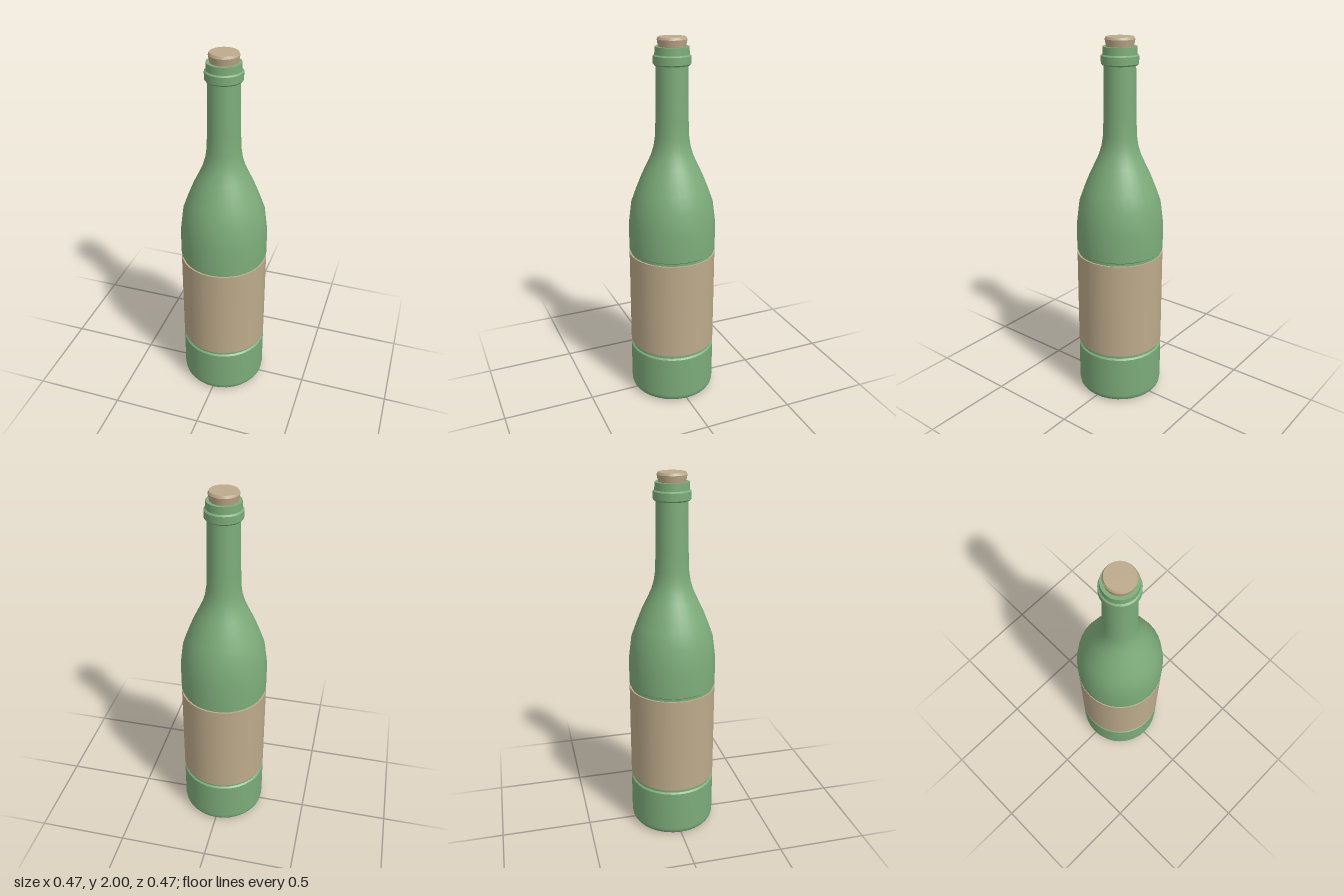
import * as THREE from 'three';

const SEGMENTS = 32;
const glass = new THREE.MeshStandardMaterial({ name: 'green glass', color: 0x7dac7a });
const tan = new THREE.MeshStandardMaterial({ name: 'tan paper and cork', color: 0xbdaa8b });

// Revolves each smooth run of [radius, height] points; edges between runs stay sharp
function turned(name, material, runs) {
  const part = new THREE.Group();
  part.name = name;
  runs.forEach((run, i) => {
    const points = run.map(([r, y]) => new THREE.Vector2(r, y));
    const mesh = new THREE.Mesh(new THREE.LatheGeometry(points, SEGMENTS), material);
    mesh.name = `${name}Surface${i + 1}`;
    part.add(mesh);
  });
  return part;
}

export function createModel() {
  const bottle = new THREE.Group();
  bottle.name = 'bottle';

  bottle.add(
    // Hollow underside and rounded foot
    turned('base', glass, [
      [[0, 0.06], [0.07, 0.055], [0.13, 0.04], [0.175, 0.015], [0.195, 0]],
      [[0.195, 0], [0.212, 0]],
      [[0.212, 0], [0.225, 0.008], [0.233, 0.02], [0.237, 0.04], [0.237, 0.272]],
      [[0.237, 0.272], [0.228, 0.28]],
    ]),
    // Recessed band behind the label
    turned('labelRecess', glass, [[[0.228, 0.28], [0.228, 0.86]]]),
    turned('label', tan, [
      [[0.227, 0.3], [0.237, 0.3]],
      [[0.237, 0.3], [0.237, 0.846]],
      [[0.237, 0.846], [0.227, 0.846]],
    ]),
    // Upper body, sloping shoulder and neck
    turned('shoulderAndNeck', glass, [
      [[0.228, 0.86], [0.237, 0.867]],
      [[0.237, 0.867], [0.237, 1.01], [0.221, 1.135], [0.192, 1.215], [0.164, 1.285],
        [0.135, 1.345], [0.112, 1.395], [0.097, 1.445], [0.089, 1.5], [0.086, 1.6], [0.082, 1.865]],
    ]),
    // Stepped lip
    turned('lip', glass, [
      [[0.08, 1.862], [0.091, 1.862]],
      [[0.091, 1.862], [0.097, 1.869]],
      [[0.097, 1.869], [0.097, 1.908]],
      [[0.097, 1.908], [0.089, 1.915]],
      [[0.089, 1.915], [0.088, 1.953]],
      [[0.088, 1.953], [0.06, 1.953]],
    ]),
    // Flared stopper
    turned('cork', tan, [
      [[0.068, 1.94], [0.077, 1.988]],
      [[0.077, 1.988], [0.071, 2]],
      [[0.071, 2], [0, 2]],
    ]),
  );
  return bottle;
}
